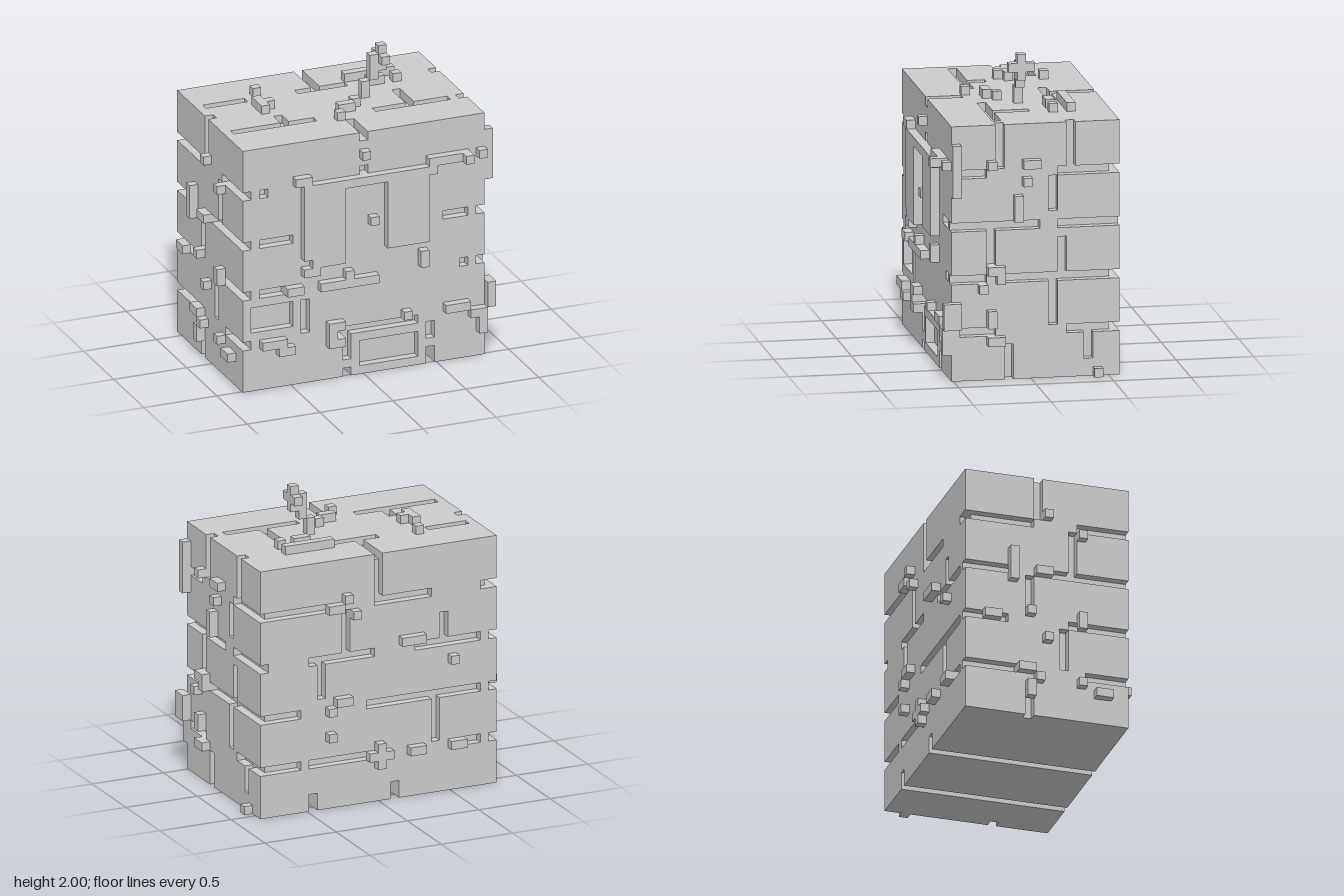
import * as THREE from 'three';

const U = 2 / 35;                       // edge of one cube
const NX = 29, NY = 29, NZ = 19;        // body size in cubes
const material = new THREE.MeshStandardMaterial({ color: 0xcccccc, flatShading: true });

// Each side maps [across, up, width, height] to a box in cubes; d is the layer
// along the outward normal (-1 = carved into the skin, 0 = standing proud).
const sides = {
  front: ([a, b, w, h], d) => [a, b, NZ + d, w, h, 1],
  back: ([a, b, w, h], d) => [a, b, -1 - d, w, h, 1],
  right: ([a, b, w, h], d) => [NX + d, b, a, 1, h, w],
  left: ([a, b, w, h], d) => [-1 - d, b, a, 1, h, w],
  top: ([a, b, w, h], d) => [a, NY + d, b, w, 1, h],
};

// Mortar joints and recessed panels
const grooves = {
  front: [
    [0, 23, 1, 1], [2, 23, 1, 1], [14, 24, 1, 1], [14, 28, 1, 1],
    [2, 17, 4, 1], [24, 17, 3, 1],
    [2, 11, 3, 1], [26, 11, 1, 1],
    [7, 6, 1, 4], [1, 7, 5, 3],
    [11, 5, 10, 1], [14, 1, 7, 3], [12, 2, 1, 3], [22, 3, 1, 2],
  ],
  right: [
    [0, 23, 7, 1], [15, 23, 3, 1], [5, 24, 1, 5], [13, 24, 1, 5], [7, 19, 1, 4],
    [0, 17, 7, 1], [9, 17, 10, 1], [14, 13, 1, 4], [6, 12, 1, 4],
    [0, 11, 13, 1], [15, 11, 4, 1], [7, 6, 1, 5],
    [0, 5, 6, 1], [14, 5, 4, 1], [12, 0, 1, 4], [3, 2, 1, 3],
  ],
  left: [
    [0, 23, 8, 1], [13, 23, 6, 1], [8, 24, 1, 5], [12, 18, 1, 5],
    [0, 17, 6, 1], [10, 17, 9, 1], [7, 13, 1, 4],
    [0, 11, 5, 1], [12, 11, 7, 1], [11, 6, 1, 5],
    [0, 5, 6, 1], [14, 5, 5, 1], [7, 0, 1, 3],
  ],
  back: [
    [0, 23, 2, 1], [8, 23, 7, 1], [20, 23, 8, 1], [14, 24, 1, 5],
    [18, 18, 1, 5], [6, 18, 1, 3],
    [0, 17, 1, 1], [2, 17, 8, 1], [15, 17, 8, 1], [21, 13, 1, 4],
    [0, 11, 1, 1], [2, 11, 14, 1], [24, 11, 4, 1], [7, 6, 1, 5],
    [0, 5, 1, 1], [2, 5, 2, 1], [15, 5, 8, 1], [24, 5, 4, 1],
  ],
  top: [
    [14, 0, 1, 5], [12, 5, 6, 1], [1, 5, 5, 1], [22, 9, 1, 4], [18, 13, 9, 1],
    [1, 13, 10, 1], [7, 11, 1, 2], [14, 15, 1, 4],
  ],
};

// Cubes and bars standing proud of each side
const growth = {
  front: [
    [6, 24, 2, 1], [22, 24, 5, 1], [22, 23, 1, 1], [28, 24, 1, 1], [14, 26, 1, 1],
    [15, 18, 1, 1], [7, 13, 2, 1], [21, 12, 1, 2],
    [5, 11, 2, 1], [9, 11, 7, 1], [12, 12, 1, 1],
    [10, 4, 1, 3], [11, 6, 1, 1], [11, 4, 1, 1], [19, 6, 1, 1],
    [24, 6, 3, 1], [27, 5, 2, 1], [28, 3, 1, 2],
    [2, 5, 3, 1], [4, 4, 2, 1],
  ],
  right: [
    [18, 21, 1, 6], [9, 24, 2, 1], [14, 24, 1, 1], [10, 22, 1, 1],
    [11, 18, 1, 3], [13, 11, 1, 2], [14, 12, 1, 1], [15, 10, 1, 1],
    [14, 6, 1, 2], [13, 4, 2, 1], [18, 6, 2, 3], [2, 0, 1, 1],
  ],
  left: [
    [9, 24, 1, 1], [13, 22, 1, 1], [5, 16, 1, 4], [8, 17, 2, 1],
    [7, 12, 1, 1], [13, 11, 1, 2], [9, 9, 1, 1], [2, 11, 2, 1],
    [6, 5, 2, 1], [8, 4, 1, 1], [7, 2, 1, 2], [13, 4, 1, 1], [15, 3, 2, 1],
  ],
  back: [
    [18, 24, 1, 1], [19, 23, 2, 1], [17, 22, 1, 1], [10, 18, 2, 1], [9, 18, 1, 1],
    [5, 15, 1, 1], [20, 11, 1, 1], [18, 12, 2, 1], [20, 8, 1, 1],
    [13, 5, 3, 1], [14, 4, 1, 3], [9, 5, 2, 1], [4, 5, 2, 1],
  ],
  top: [
    [18, 4, 6, 1], [7, 4, 1, 1], [6, 7, 1, 3], [7, 8, 1, 1], [20, 6, 2, 1],
    [23, 6, 1, 1], [14, 12, 2, 1], [16, 11, 1, 1], [13, 14, 1, 1],
  ],
};

// World position of a grid corner
const place = (x, y, z) => [(x - NX / 2) * U, y * U, (z - 10) * U];

function addBox(parent, name, [x, y, z, w, h, d]) {
  const mesh = new THREE.Mesh(new THREE.BoxGeometry(w * U, h * U, d * U), material);
  mesh.position.set(...place(x + w / 2, y + h / 2, z + d / 2));
  mesh.name = name;
  parent.add(mesh);
}

// Solid block of cubes with boxes carved away; keeps only the exposed faces
function carvedBlock(cuts) {
  const solid = new Uint8Array(NX * NY * NZ).fill(1);
  const index = (x, y, z) => (x * NY + y) * NZ + z;
  const filled = (x, y, z) => x >= 0 && y >= 0 && z >= 0 && x < NX && y < NY && z < NZ
    && solid[index(x, y, z)] === 1;
  for (const [x, y, z, w, h, d] of cuts)
    for (let i = x; i < x + w; i++)
      for (let j = y; j < y + h; j++)
        for (let k = z; k < z + d; k++) solid[index(i, j, k)] = 0;

  const pos = [], nor = [];
  const corners = [[0, 0], [1, 0], [1, 1], [0, 0], [1, 1], [0, 1]];
  for (let x = 0; x < NX; x++)
    for (let y = 0; y < NY; y++)
      for (let z = 0; z < NZ; z++) {
        if (!filled(x, y, z)) continue;
        for (let axis = 0; axis < 3; axis++)
          for (const s of [-1, 1]) {
            const n = [0, 0, 0];
            n[axis] = s;
            if (filled(x + n[0], y + n[1], z + n[2])) continue;
            for (const [a, b] of corners) {
              const p = [x, y, z];
              p[axis] += s > 0 ? 1 : 0;
              p[(axis + 1) % 3] += s > 0 ? a : b;
              p[(axis + 2) % 3] += s > 0 ? b : a;
              pos.push(...place(...p));
              nor.push(...n);
            }
          }
      }
  const geometry = new THREE.BufferGeometry();
  geometry.setAttribute('position', new THREE.Float32BufferAttribute(pos, 3));
  geometry.setAttribute('normal', new THREE.Float32BufferAttribute(nor, 3));
  return geometry;
}

export function createModel() {
  const model = new THREE.Group();
  model.name = 'brickBlock';

  // Body with mortar joints and two slots running under it from front to back
  const cuts = [[12, 0, 0, 1, 1, NZ], [12, 1, 0, 1, 1, NZ - 1], [22, 0, 0, 1, 2, NZ]];
  for (const side in grooves)
    for (const r of grooves[side]) cuts.push(sides[side](r, -1));
  const body = new THREE.Mesh(carvedBlock(cuts), material);
  body.name = 'brickBody';
  model.add(body);

  // Raised frame on the front: two panels joined by a header
  const frame = new THREE.Group();
  frame.name = 'frontFrame';
  addBox(frame, 'leftPanelEdge', sides.front([7, 15, 1, 9], 0));
  addBox(frame, 'leftPanel', sides.front([8, 14, 4, 10], 0));
  addBox(frame, 'rightPanel', sides.front([17, 15, 5, 9], 0));
  addBox(frame, 'header', sides.front([12, 23, 5, 1], 0));
  model.add(frame);

  // Growth on every side
  for (const side in growth) {
    const group = new THREE.Group();
    group.name = side + 'Growth';
    growth[side].forEach((r) => addBox(group, side + 'Tuft', sides[side](r, 0)));
    model.add(group);
  }
  addBox(model, 'frontKnob', sides.front([26, 24, 1, 1], 1));

  // Crooked sprout on top
  const sprout = new THREE.Group();
  sprout.name = 'sprout';
  addBox(sprout, 'lowerStem', [18, 29, 9, 1, 2, 1]);
  addBox(sprout, 'middleStem', [19, 31, 9, 1, 3, 1]);
  addBox(sprout, 'upperStem', [20, 32, 9, 1, 3, 1]);
  for (const z of [8, 10]) addBox(sprout, 'leaf', [20, 33, z, 1, 1, 1]);
  model.add(sprout);

  return model;
}
